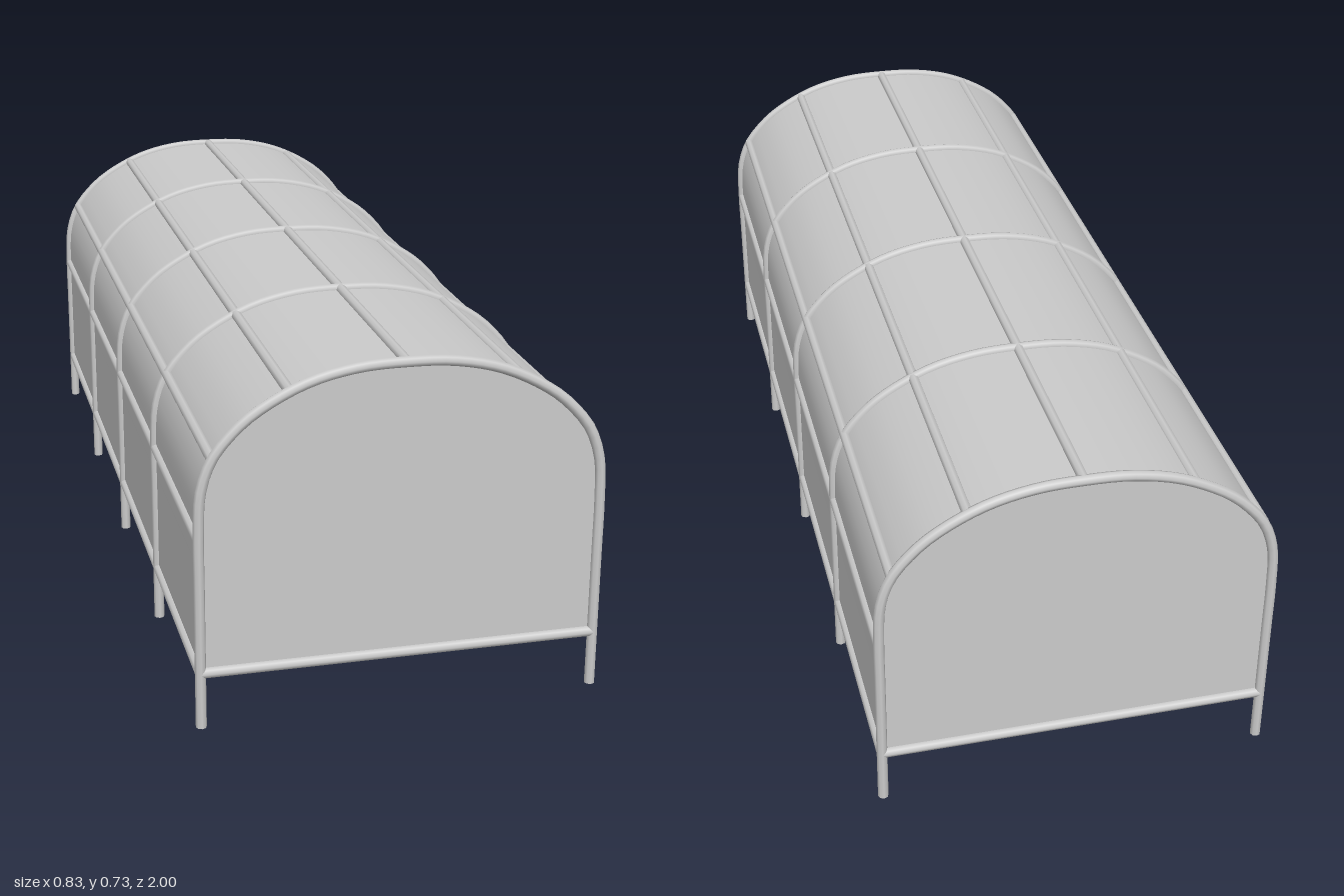
import * as THREE from 'three';
import { ParametricGeometry } from 'three/addons/geometries/ParametricGeometry.js';

const R = 0.011;      // tube radius
const END = 0.989;    // z of the end hoops
const SILL = 0.116;   // height of the bottom rails

const grey = new THREE.MeshStandardMaterial({ color: 0xcccccc });
const sheet = new THREE.MeshStandardMaterial({ color: 0xcccccc, side: THREE.DoubleSide });
const soil = new THREE.MeshStandardMaterial({ color: 0x7d7a60, side: THREE.DoubleSide });
const green = new THREE.MeshStandardMaterial({ color: 0x7f9a6a });

// Half of the hoop's centre line, from the wall up to the crown
const half = [
  [0.402, 0.3], [0.402, 0.4], [0.397, 0.49], [0.376, 0.552], [0.342, 0.597],
  [0.293, 0.64], [0.196, 0.691], [0.098, 0.715], [0, 0.72],
];

// Full hoop line from the left foot at height y0 over to the right foot
function hoopCurve(y0) {
  const left = [[0.402, y0], ...half];
  const right = left.slice(0, -1).reverse().map(([x, y]) => [-x, y]);
  const pts = [...left, ...right].map(([x, y]) => new THREE.Vector3(x, y, 0));
  return new THREE.CatmullRomCurve3(pts, false, 'centripetal');
}

function add(parent, name, geometry, material, x = 0, y = 0, z = 0) {
  const mesh = new THREE.Mesh(geometry, material);
  mesh.name = name;
  mesh.position.set(x, y, z);
  parent.add(mesh);
  return mesh;
}

export function createModel() {
  const model = new THREE.Group();
  model.name = 'tunnelGreenhouse';

  // Five hoops whose feet stand on the ground, each foot closed by a disc
  const hoopGeometry = new THREE.TubeGeometry(hoopCurve(0), 80, R, 8, false);
  const footGeometry = new THREE.CircleGeometry(R, 8).rotateX(Math.PI / 2);
  for (let i = 0; i < 5; i++) {
    const z = END * (i / 2 - 1);
    add(model, 'hoop', hoopGeometry, grey, 0, 0, z);
    for (const s of [-1, 1]) add(model, 'hoopFoot', footGeometry, grey, s * 0.402, 0, z);
  }

  // Lengthwise rails, mirrored, and the ridge rail
  const railGeometry = new THREE.CylinderGeometry(R, R, 2 * END, 8).rotateX(Math.PI / 2);
  for (const [x, y] of [[0.402, SILL], [0.402, 0.395], [0.374, 0.557], [0.225, 0.678]]) {
    for (const s of [-1, 1]) add(model, 'rail', railGeometry, grey, s * x, y, 0);
  }
  add(model, 'ridgeRail', railGeometry, grey, 0, 0.72, 0);

  // Cover stretched over the hoops
  const coverCurve = hoopCurve(SILL);
  add(model, 'cover', new ParametricGeometry((u, v, target) => {
    coverCurve.getPointAt(u, target);
    target.z = END * (2 * v - 1);
  }, 72, 4), sheet);

  // End walls with their bottom bars
  const outline = coverCurve.getSpacedPoints(72).map((p) => new THREE.Vector2(p.x, p.y));
  const wallGeometry = new THREE.ShapeGeometry(new THREE.Shape(outline));
  const barGeometry = new THREE.CylinderGeometry(R, R, 0.804, 8).rotateZ(Math.PI / 2);
  for (const s of [-1, 1]) {
    const wall = add(model, 'endWall', wallGeometry, sheet, 0, 0, s * END);
    if (s < 0) wall.rotation.y = Math.PI;
    add(model, 'endBar', barGeometry, grey, 0, SILL, s * END);
  }

  // Soil floor
  add(model, 'floor', new THREE.BoxGeometry(0.8, 0.004, 2 * END), soil, 0, 0.125, 0);

  // One planted mound per bay
  const moundGeometry = new THREE.SphereGeometry(1, 32, 20).scale(0.37, 0.022, 0.15);
  for (let i = 0; i < 4; i++) {
    add(model, 'plantMound', moundGeometry, green, 0, 0.125, END * (i / 2 - 0.75));
  }
  return model;
}
